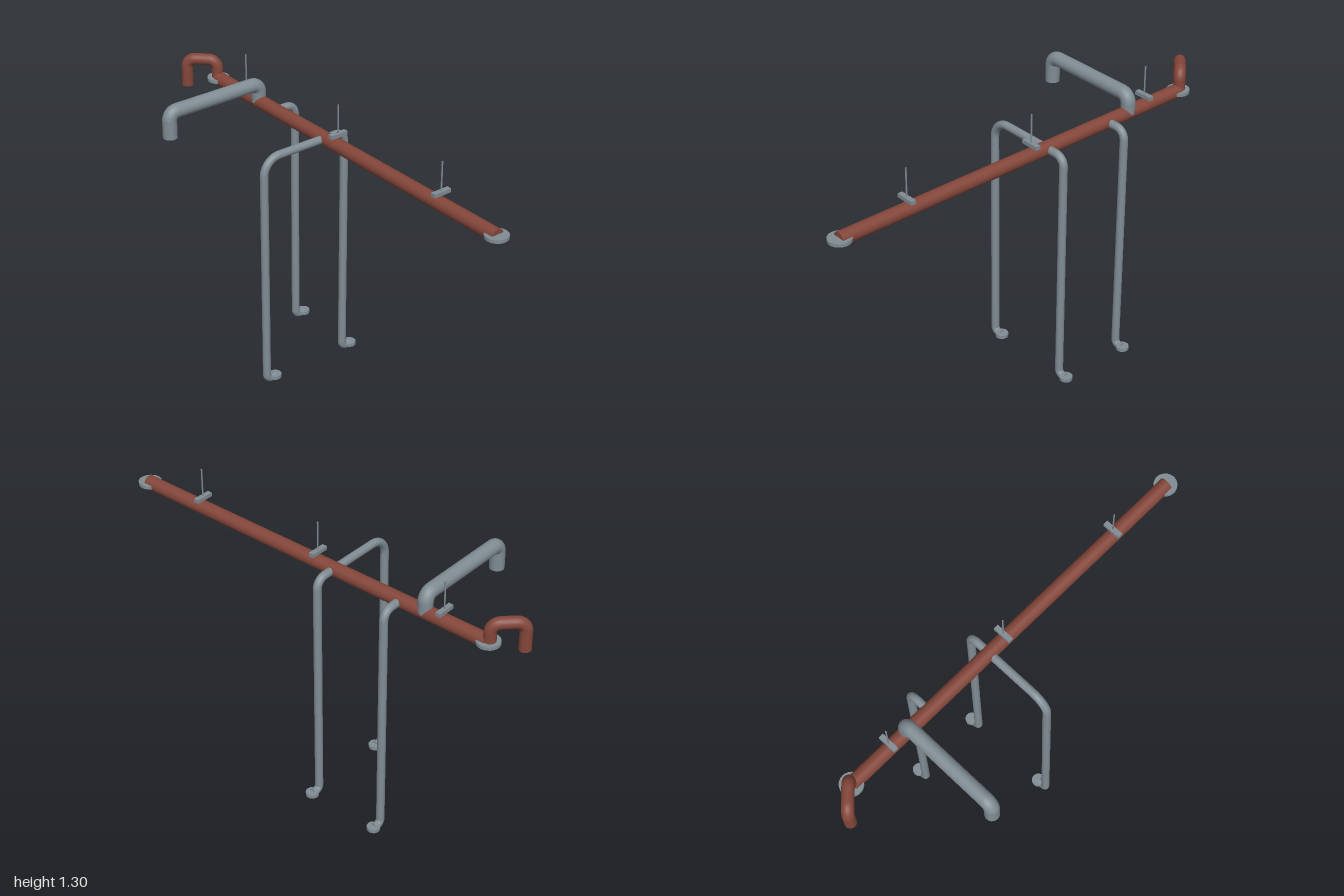
import * as THREE from 'three';
import { mergeGeometries } from 'three/addons/utils/BufferGeometryUtils.js';

const SIDES = 20;
const V = (x, y, z) => new THREE.Vector3(x, y, z);

// Flat cap at a pipe end, facing along dir
function cap(at, dir, radius) {
  const g = new THREE.CircleGeometry(radius, SIDES);
  g.applyQuaternion(new THREE.Quaternion().setFromUnitVectors(V(0, 0, 1), dir));
  return g.translate(at.x, at.y, at.z);
}

// Pipe through right-angled corners; bends holds the elbow radius of each inner corner
function pipeGeometry(points, bends, radius) {
  const parts = [];
  const last = points.length - 1;
  const dir = i => points[i + 1].clone().sub(points[i]).normalize();
  let start = points[0];
  for (let i = 1; i <= last; i++) {
    const d = dir(i - 1);
    const b = i < last ? bends[i - 1] : 0;
    const end = points[i].clone().addScaledVector(d, -b);
    parts.push(new THREE.TubeGeometry(new THREE.LineCurve3(start, end), 1, radius, SIDES));
    if (i === last) break;
    const next = dir(i);
    const out = points[i].clone().addScaledVector(next, b);
    const k = 0.5523 * b;
    const elbow = new THREE.CubicBezierCurve3(end, end.clone().addScaledVector(d, k),
      out.clone().addScaledVector(next, -k), out);
    parts.push(new THREE.TubeGeometry(elbow, 10, radius, SIDES));
    start = out;
  }
  parts.push(cap(points[0], dir(0).negate(), radius));
  parts.push(cap(points[last], dir(last - 1), radius));
  return mergeGeometries(parts);
}

export function createModel() {
  const model = new THREE.Group();
  model.name = 'pipework';
  const steel = new THREE.MeshStandardMaterial({ name: 'grey steel', color: 0x808c94 });
  const red = new THREE.MeshStandardMaterial({ name: 'oxide red', color: 0x84463a });
  const dark = new THREE.MeshStandardMaterial({ name: 'dark opening', color: 0x1c1e20 });

  const add = (name, geometry, material, x = 0, y = 0, z = 0) => {
    const mesh = new THREE.Mesh(geometry, material);
    mesh.name = name;
    mesh.position.set(x, y, z);
    model.add(mesh);
    return mesh;
  };
  const pipe = (name, points, bends, radius, material) =>
    add(name, pipeGeometry(points, bends, radius), material);

  // Flat round flange with a dark underside
  const flange = (name, radius, height, x, y, z) => {
    add(name, new THREE.CylinderGeometry(radius, radius, height, 24), steel, x, y, z);
    add(name + 'Underside', new THREE.CylinderGeometry(radius * 0.88, radius * 0.88, 0.002, 24),
      dark, x, y - height / 2, z);
  };

  const mainX = 0.16, mainY = 1.112;

  // Main red run with an end flange at each end
  pipe('mainPipe', [V(mainX, mainY, 0.955), V(mainX, mainY, -0.87)], [], 0.031, red);
  flange('frontFlange', 0.05, 0.015, mainX, mainY, 0.95);
  flange('backFlange', 0.05, 0.015, mainX, mainY, -0.87);

  // Gooseneck vent at the back
  pipe('gooseneck', [V(mainX, mainY, -0.876), V(mainX, 1.199, -0.876),
    V(0.063, 1.199, -0.974), V(0.063, 1.071, -0.974)], [0.038, 0.038], 0.026, red);

  // Thick grey branch turning down at its far end
  pipe('upperBranch', [V(mainX, mainY, -0.565), V(mainX, 1.196, -0.565),
    V(-0.313, 1.196, -0.565), V(-0.313, 1.08, -0.565)], [0.037, 0.037], 0.032, steel);

  // Thin down pipes: [name, leg x, z, top elbow radius]
  const footY = 0.019;
  [
    ['leftDownPipe', 0.265, -0.1, 0.045],
    ['rightDownPipe', -0.163, -0.1, 0.08],
    ['backDownPipe', 0.265, -0.443, 0.045],
  ].forEach(([name, x, z, bend]) => {
    pipe(name, [V(mainX, mainY, z), V(x, mainY, z), V(x, footY, z), V(x + 0.043, footY, z)],
      [bend, 0.024], 0.018, steel);
    flange(name + 'Foot', 0.029, 0.016, x + 0.045, 0.021, z);
  });

  // Hanger plates with thin rods
  [0.628, -0.015, -0.659].forEach((z, i) => {
    add('hangerPlate' + (i + 1), new THREE.BoxGeometry(0.085, 0.017, 0.023), steel, mainX + 0.002, 1.162, z);
    add('hangerRod' + (i + 1), new THREE.CylinderGeometry(0.0035, 0.0035, 0.14, 8), steel, mainX + 0.002, 1.23, z);
  });

  return model;
}
